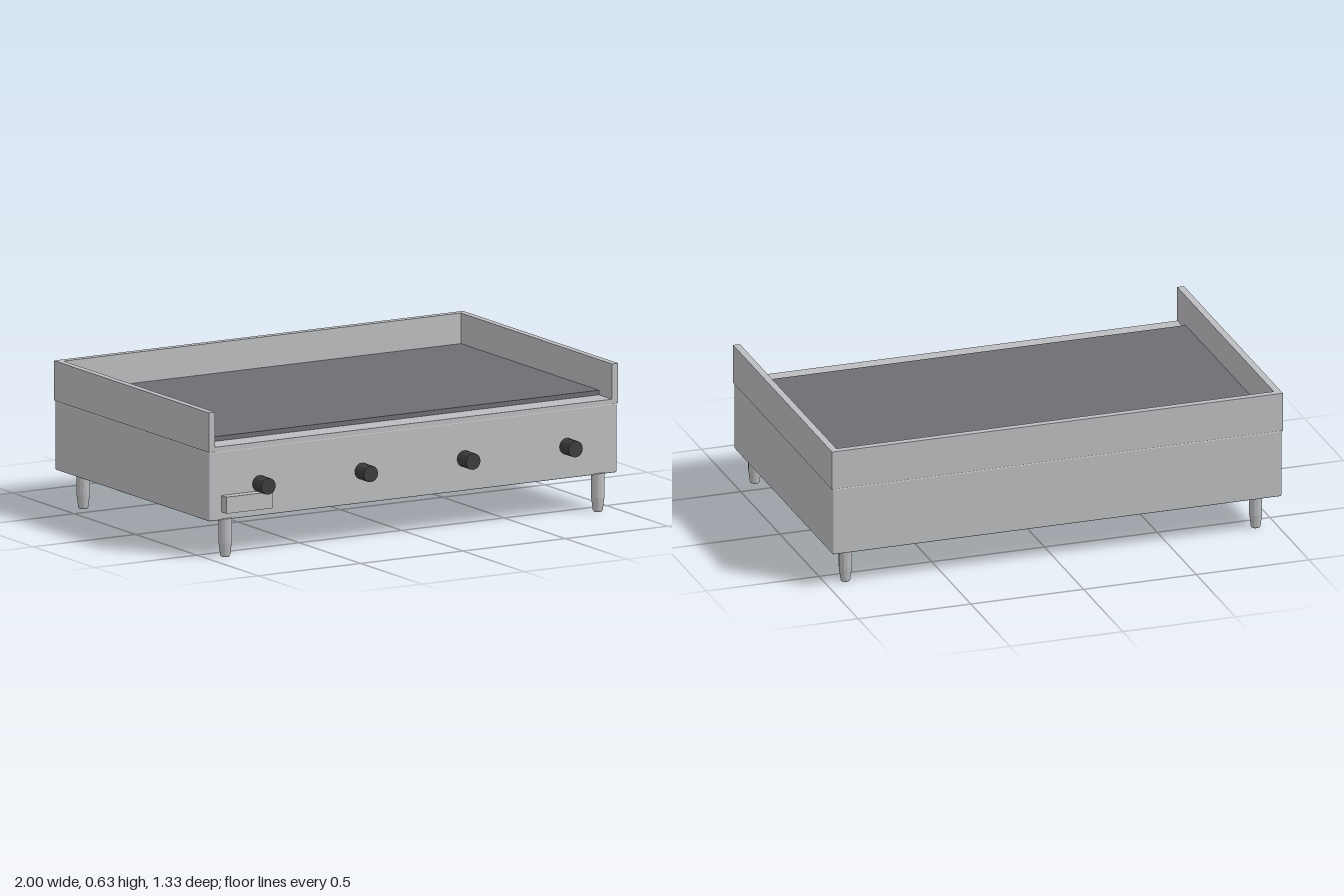
import * as THREE from 'three';
import { RoundedBoxGeometry } from 'three/addons/geometries/RoundedBoxGeometry.js';

export function createModel() {
  const model = new THREE.Group();
  model.name = 'countertopGriddle';

  const paint = (name, color, flatShading = false) => {
    const m = new THREE.MeshStandardMaterial({ color });
    m.name = name;
    m.flatShading = flatShading;
    return m;
  };
  const steel = paint('brushed steel', 0xbcbdc0);
  const iron = paint('griddle iron', 0x6c6e73);
  const black = paint('knob black', 0x3c3c3f, true);

  const add = (name, geometry, material, x = 0, y = 0, z = 0) => {
    const mesh = new THREE.Mesh(geometry, material);
    mesh.name = name;
    mesh.position.set(x, y, z);
    model.add(mesh);
    return mesh;
  };
  // Box given by its lower and upper limits on each axis
  const box = (name, material, [x0, x1], [y0, y1], [z0, z1]) =>
    add(name, new THREE.BoxGeometry(x1 - x0, y1 - y0, z1 - z0), material,
      (x0 + x1) / 2, (y0 + y1) / 2, (z0 + z1) / 2);

  // Cabinet with softly folded edges
  add('cabinet', new RoundedBoxGeometry(1.992, 0.297, 1.257, 2, 0.006), steel, 0, 0.3075, -0.035);

  // Deck under the plate, showing as a ledge along the front
  box('frontLedge', steel, [-0.972, 0.972], [0.453, 0.475], [-0.64, 0.595]);

  // Cooking plate
  box('cookingPlate', iron, [-0.97, 0.97], [0.47, 0.495], [-0.636, 0.49]);

  // Splash guard wrapping the back and both sides; shape y becomes -z
  const guard = new THREE.Shape([
    [-1, -0.597], [-0.97, -0.597], [-0.97, 0.636], [0.97, 0.636],
    [0.97, -0.597], [1, -0.597], [1, 0.667], [-1, 0.667],
  ].map(([x, y]) => new THREE.Vector2(x, y)));
  const guardGeometry = new THREE.ExtrudeGeometry(guard, { depth: 0.17, bevelEnabled: false });
  guardGeometry.rotateX(-Math.PI / 2);
  add('splashGuard', guardGeometry, steel, 0, 0.456, 0);

  // Control knobs
  const knobGeometry = new THREE.CylinderGeometry(0.035, 0.035, 0.077, 16);
  knobGeometry.rotateX(Math.PI / 2);
  for (const x of [-0.75, -0.25, 0.25, 0.75]) add('knob', knobGeometry, black, x, 0.297, 0.6285);

  // Grease drawer front
  box('greaseDrawer', steel, [-0.935, -0.71], [0.194, 0.265], [0.585, 0.635]);

  // Legs: straight tube with a tapered foot
  const legProfile = [[0, 0], [0.018, 0], [0.021, 0.006], [0.028, 0.06], [0.028, 0.165], [0, 0.165]]
    .map(([r, y]) => new THREE.Vector2(r, y));
  const legSteel = paint('leg steel', 0xbcbdc0, true);
  const legGeometry = new THREE.LatheGeometry(legProfile, 12);
  for (const x of [-0.91, 0.91]) {
    for (const z of [-0.577, 0.58]) add('leg', legGeometry, legSteel, x, 0, z);
  }

  return model;
}
